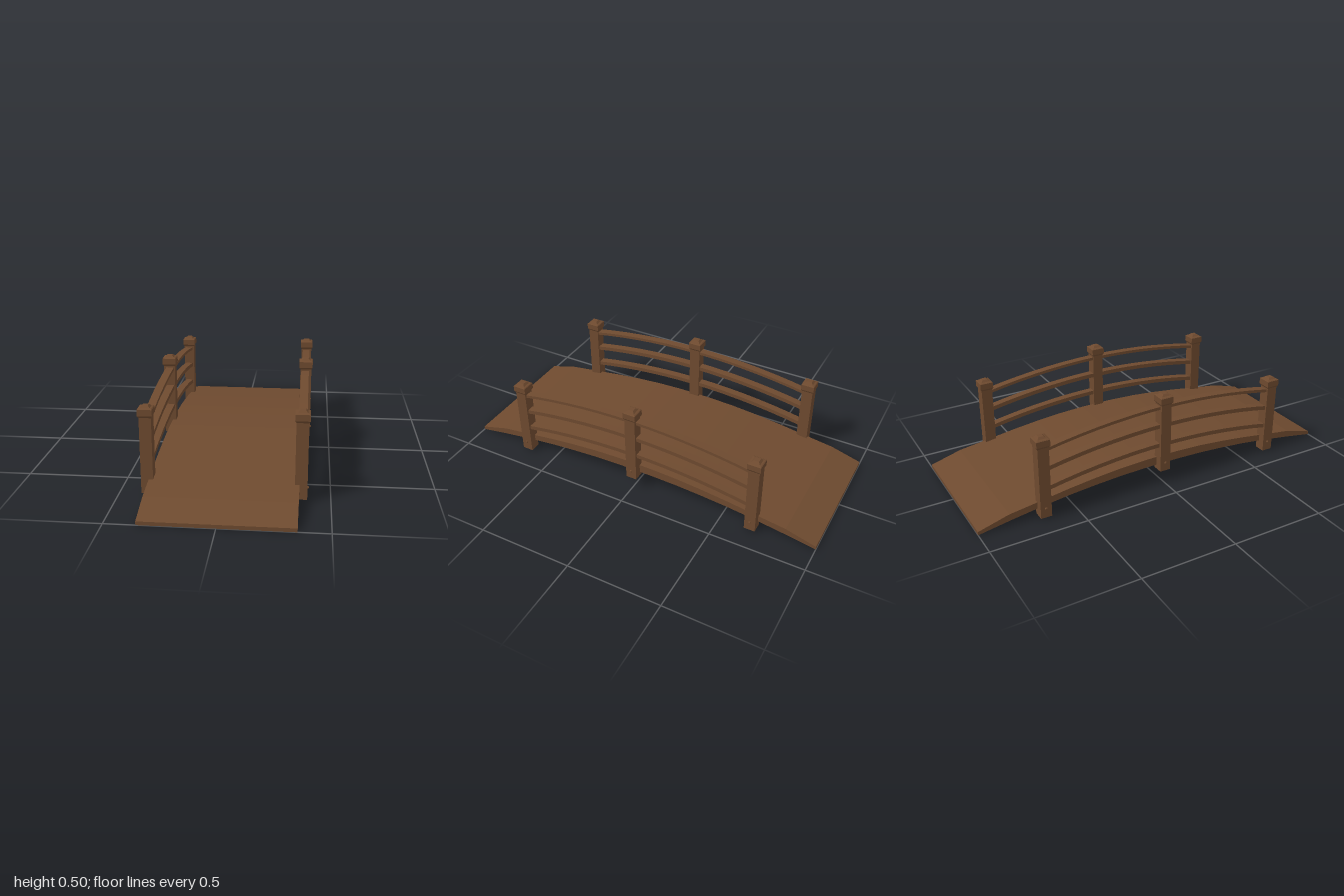
import * as THREE from 'three';

const wood = new THREE.MeshStandardMaterial({ color: 0x6e4a2f, flatShading: true });

function addMesh(parent, geometry, name, x = 0, y = 0, z = 0) {
  const mesh = new THREE.Mesh(geometry, wood);
  mesh.name = name;
  mesh.position.set(x, y, z);
  parent.add(mesh);
  return mesh;
}

// Extrudes a long side profile across the bridge; each row is [z, bottom, top] for one half.
function archGeometry(half, width) {
  const rows = [
    ...half.slice(1).reverse().map(([z, b, t]) => [-z, b, t]),
    ...half,
  ];
  const outline = [
    ...rows.map(([z, b]) => new THREE.Vector2(z, b)),
    ...rows.slice().reverse().map(([z, , t]) => new THREE.Vector2(z, t)),
  ];
  const geo = new THREE.ExtrudeGeometry(new THREE.Shape(outline), { depth: width, bevelEnabled: false });
  geo.translate(0, 0, -width / 2);
  geo.rotateY(Math.PI / 2);
  return geo;
}

// Square turned post with a flared cap; rows are [half width, height].
function postGeometry(bottom, shoulder) {
  const h = 0.029;
  const profile = [
    [0, bottom], [h, bottom], [h, shoulder],
    [0.035, shoulder + 0.01], [0.035, shoulder + 0.041],
    [0.031, shoulder + 0.044], [0.023, shoulder + 0.046],
    [0.013, shoulder + 0.056], [0, shoulder + 0.056],
  ].map(([r, y]) => new THREE.Vector2(r * Math.SQRT2, y));
  return new THREE.LatheGeometry(profile, 4, Math.PI / 4);
}

export function createModel() {
  const bridge = new THREE.Group();
  bridge.name = 'archedFootbridge';

  // Arched deck with tapered ramps
  const deck = [
    [0, 0.097, 0.143], [0.1, 0.096, 0.142], [0.24, 0.092, 0.136], [0.38, 0.083, 0.124],
    [0.52, 0.071, 0.108], [0.667, 0.053, 0.087], [0.84, 0.027, 0.063], [1, 0, 0.018],
  ];
  addMesh(bridge, archGeometry(deck, 0.706), 'deck');

  // Curved rail outline, shared by all rails
  const railRows = [];
  for (let i = 0; i <= 7; i++) {
    const z = (0.66 * i) / 7;
    const drop = 0.148 * z * z;
    railRows.push([z, -drop - 0.011, -drop + 0.011]);
  }
  const rail = archGeometry(railRows, 0.04);
  const topRail = archGeometry(railRows.map(([z, b, t]) => [z, b + 0.003, t - 0.003]), 0.04);

  const endPost = postGeometry(0.01, 0.387);
  const middlePost = postGeometry(0.075, 0.447);
  const bolt = new THREE.CylinderGeometry(0.005, 0.008, 0.008, 8);
  bolt.rotateZ(-Math.PI / 2);

  for (const side of [1, -1]) {
    const railing = new THREE.Group();
    railing.name = side > 0 ? 'leftRailing' : 'rightRailing';
    bridge.add(railing);

    // Rails
    addMesh(railing, rail, 'lowerRail', side * 0.36, 0.223, 0);
    addMesh(railing, rail, 'middleRail', side * 0.36, 0.33, 0);
    addMesh(railing, topRail, 'topRail', side * 0.36, 0.432, 0);

    // Posts and their bolts
    for (const z of [-0.667, 0, 0.667]) {
      const middle = z === 0;
      const x = side * (middle ? 0.364 : 0.361);
      addMesh(railing, middle ? middlePost : endPost, middle ? 'middlePost' : 'endPost', x, 0, z);
      const head = addMesh(railing, bolt, 'bolt', x + side * 0.031, middle ? 0.12 : 0.06, z);
      if (side < 0) head.rotation.y = Math.PI;
    }
  }
  return bridge;
}
